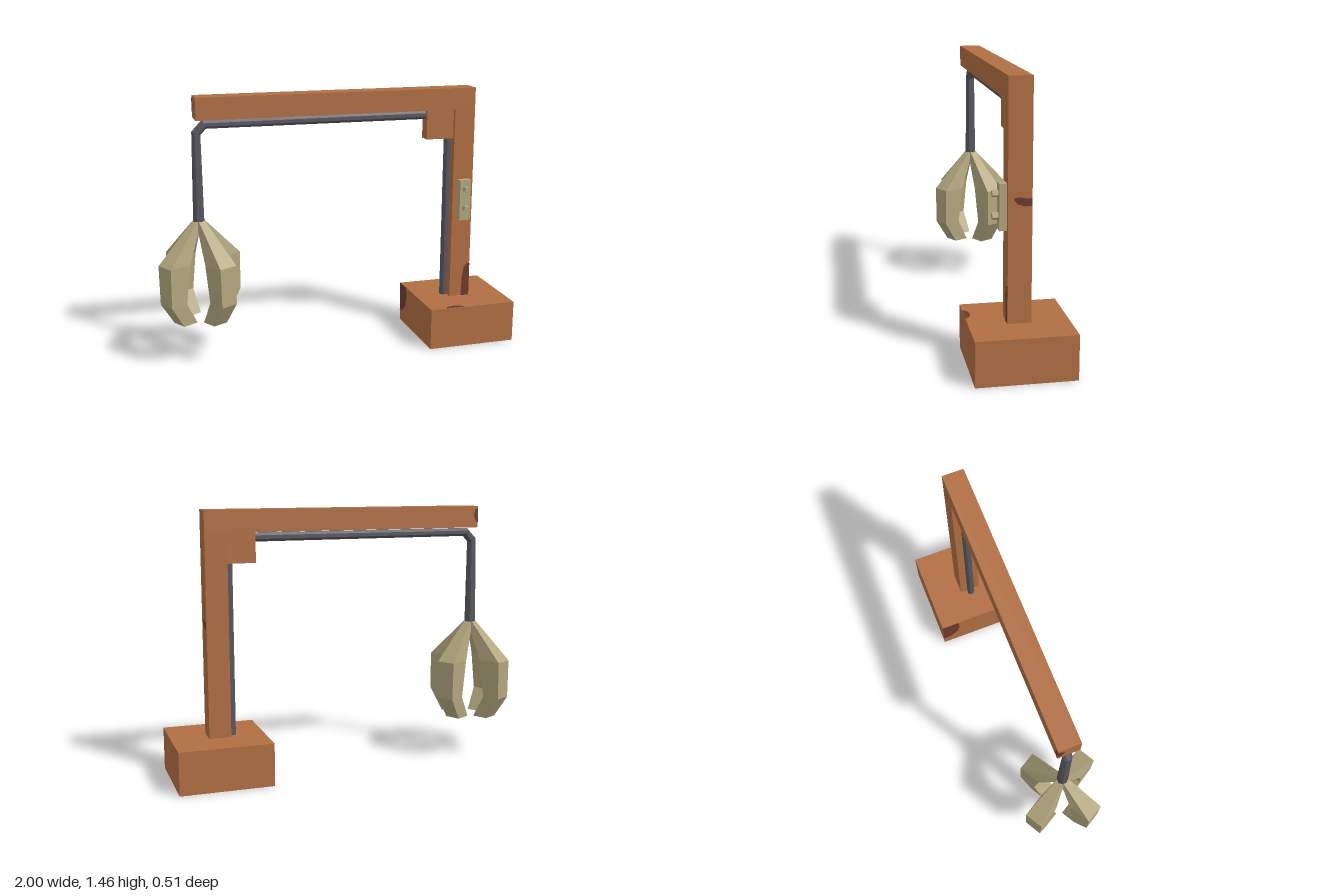
import * as THREE from 'three';

const wood = new THREE.MeshStandardMaterial({ color: 0xb06e42 });
wood.name = 'orange paint';
const claw = new THREE.MeshStandardMaterial({ color: 0xb2a67e });
claw.name = 'khaki metal';
const rubber = new THREE.MeshStandardMaterial({ color: 0x58565e });
rubber.name = 'dark cable';
const rust = new THREE.MeshStandardMaterial({ color: 0x6e3a2c });
rust.name = 'rust';

// Flat-faced skin over rings, with both ends capped
function loft(rings) {
  const pos = [];
  const n = rings[0].length;
  const tri = (...pts) => pts.forEach((p) => pos.push(p.x, p.y, p.z));
  for (let k = 0; k < rings.length - 1; k++) {
    const a = rings[k], b = rings[k + 1];
    for (let i = 0; i < n; i++) {
      const j = (i + 1) % n;
      tri(a[i], a[j], b[j]);
      tri(a[i], b[j], b[i]);
    }
  }
  const first = rings[0], last = rings[rings.length - 1];
  for (let i = 1; i < n - 1; i++) {
    tri(first[0], first[i + 1], first[i]);
    tri(last[0], last[i], last[i + 1]);
  }
  const g = new THREE.BufferGeometry();
  g.setAttribute('position', new THREE.Float32BufferAttribute(pos, 3));
  g.computeVertexNormals();
  return g;
}

export function createModel() {
  const model = new THREE.Group();
  model.name = 'clawCrane';

  const add = (name, geometry, material, parent = model) => {
    const m = new THREE.Mesh(geometry, material);
    m.name = name;
    parent.add(m);
    return m;
  };
  const box = (name, x0, x1, y0, y1, z0, z1, mat) =>
    add(name, new THREE.BoxGeometry(x1 - x0, y1 - y0, z1 - z0), mat)
      .position.set((x0 + x1) / 2, (y0 + y1) / 2, (z0 + z1) / 2);

  // Frame
  box('base', 0.49, 1.0, 0, 0.235, -0.255, 0.255, wood);
  box('post', 0.68, 0.8, 0.235, 1.34, -0.06, 0.06, wood);
  box('beam', -0.775, 0.8, 1.34, 1.46, -0.06, 0.06, wood);
  box('cornerBlock', 0.52, 0.68, 1.175, 1.345, -0.03, 0.042, wood);

  // Control plate with two buttons
  box('controlPlate', 0.71, 0.775, 0.705, 0.94, 0.06, 0.098, claw);
  for (const y of [0.775, 0.887]) {
    const button = add('button', new THREE.CylinderGeometry(0.019, 0.019, 0.032, 5).toNonIndexed(), claw);
    button.geometry.computeVertexNormals();
    button.rotation.x = Math.PI / 2;
    button.position.set(0.742, y, 0.113);
  }

  // Cables: one up the post, one along the beam that bends down to the claw
  const SIDES = 8;
  const zAxis = new THREE.Vector3(0, 0, 1);
  const cable = (name, path) => {
    const pts = path.map(([x, y]) => new THREE.Vector3(x, y, 0));
    const rings = pts.map((p, k) => {
      const dirIn = p.clone().sub(pts[Math.max(k - 1, 0)]).normalize();
      const dirOut = pts[Math.min(k + 1, pts.length - 1)].clone().sub(p).normalize();
      const v = dirIn.add(dirOut).normalize().cross(zAxis);
      return Array.from({ length: SIDES }, (_, i) => {
        const a = ((i + 0.5) / SIDES) * Math.PI * 2;
        const r = path[k][2];
        return p.clone().addScaledVector(zAxis, r * Math.cos(a)).addScaledVector(v, r * Math.sin(a));
      });
    });
    add(name, loft(rings), rubber);
  };
  cable('postCable', [[0.664, 0.235, 0.022], [0.664, 1.18, 0.022]]);
  cable('beamCable', [[0.53, 1.311, 0.026], [-0.725, 1.311, 0.026], [-0.768, 1.265, 0.026], [-0.77, 0.785, 0.031]]);

  // Four-fingered claw; each station is inner radius, outer radius, height, half width
  const stations = [
    [0.0, 0.028, 0.79, 0.02],
    [0.11, 0.238, 0.575, 0.054],
    [0.138, 0.238, 0.36, 0.05],
    [0.068, 0.158, 0.235, 0.044],
  ];
  const finger = loft(stations.map(([a, b, y, w]) => [
    new THREE.Vector3(a, y, -w), new THREE.Vector3(b, y, -w),
    new THREE.Vector3(b, y, w), new THREE.Vector3(a, y, w),
  ]));
  const hand = new THREE.Group();
  hand.name = 'claw';
  hand.position.x = -0.77;
  model.add(hand);
  for (let i = 0; i < 4; i++) {
    add('finger', finger, claw, hand).rotation.y = THREE.MathUtils.degToRad(30 + 90 * i);
  }

  // Rust patches: outlines on a plane given by an origin and two axes
  const patch = (name, origin, u, v, outline) => {
    const U = new THREE.Vector3(...u), V = new THREE.Vector3(...v);
    const N = U.clone().cross(V);
    const g = new THREE.ShapeGeometry(new THREE.Shape(outline.map(([a, b]) => new THREE.Vector2(a, b))));
    g.applyMatrix4(new THREE.Matrix4().makeBasis(U, V, N)
      .setPosition(new THREE.Vector3(...origin).addScaledVector(N, 0.002)));
    add(name, g, rust);
  };
  const X = [1, 0, 0], Y = [0, 1, 0], Z = [0, 0, 1], NX = [-1, 0, 0], NZ = [0, 0, -1];
  patch('postFootRust', [0.8, 0.235, 0.06], X, Y,
    [[-0.05, 0], [0, 0], [0, 0.195], [-0.018, 0.195], [-0.036, 0.175], [-0.045, 0.12]]);
  patch('postSideRust', [0.8, 0.855, 0], NZ, Y,
    [[-0.032, 0.01], [-0.012, -0.014], [0.025, -0.025], [0.06, -0.022], [0.06, 0.016], [0.03, 0.014], [0, 0.022], [-0.025, 0.02]]);
  patch('baseTopRust', [0.64, 0.235, 0.255], X, NZ,
    [[-0.055, 0], [0.06, 0], [0.035, 0.025], [0.005, 0.033], [-0.035, 0.027], [-0.055, 0.015]]);
  patch('baseSideRust', [0.49, 0, -0.255], Z, Y,
    [[0, 0.06], [0.05, 0.075], [0.095, 0.12], [0.11, 0.17], [0.105, 0.235], [0, 0.235]]);
  patch('beamEndRust', [-0.775, 1.4, -0.06], Z, Y,
    [[0, -0.03], [0.025, -0.015], [0.035, 0.015], [0.02, 0.045], [0, 0.05]]);
  patch('beamBackRust', [-0.775, 1.4, -0.06], NX, Y,
    [[0, -0.03], [0, 0.05], [-0.018, 0.04], [-0.025, 0.005], [-0.015, -0.025]]);
  patch('beamUnderRust', [-0.46, 1.34, -0.06], X, Z,
    [[-0.045, 0], [0.045, 0], [0.05, 0.025], [0.015, 0.045], [-0.035, 0.035]]);

  return model;
}
